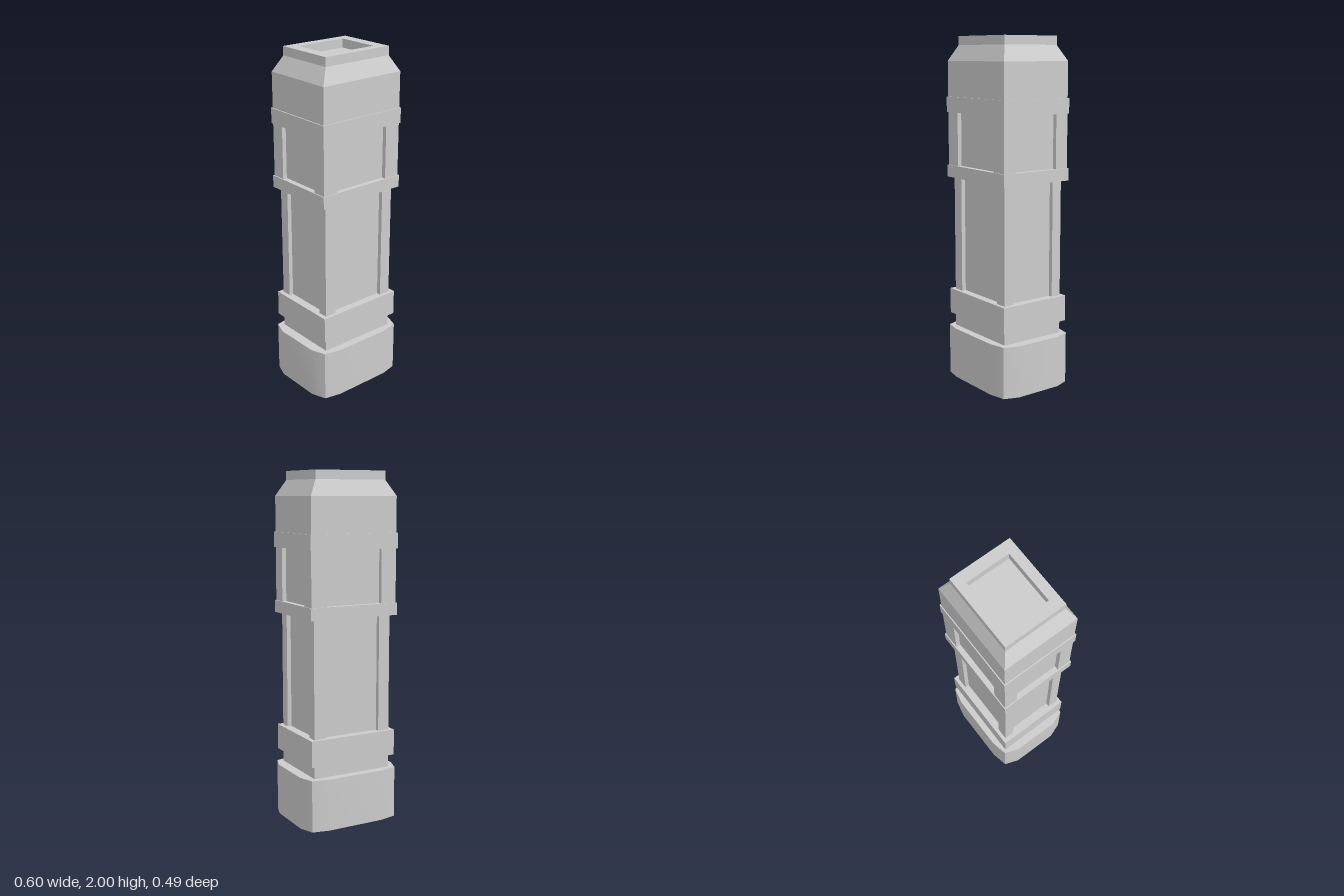
import * as THREE from 'three';
import { toCreasedNormals } from 'three/addons/utils/BufferGeometryUtils.js';

const material = new THREE.MeshStandardMaterial({ color: 0xcccccc });

export function createModel() {
  const model = new THREE.Group();

  const add = (name, geometry, parent = model) => {
    const mesh = new THREE.Mesh(geometry, material);
    mesh.name = name;
    parent.add(mesh);
    return mesh;
  };

  // Box given by half width, half depth and its bottom and top heights
  const slab = (name, hx, hz, y0, y1, parent) => {
    const mesh = add(name, new THREE.BoxGeometry(2 * hx, y1 - y0, 2 * hz), parent);
    mesh.position.y = (y0 + y1) / 2;
    return mesh;
  };

  // Four corner posts around a core that forms the recessed panels
  const panelled = (name, hx, hz, openX, openZ, y0, y1) => {
    const group = new THREE.Group();
    group.name = name;
    model.add(group);
    const depth = 0.025;
    slab('recessedPanels', hx - depth, hz - depth, y0, y1, group);
    for (const sx of [-1, 1]) {
      for (const sz of [-1, 1]) {
        const post = slab('cornerPost', (hx - openX) / 2, (hz - openZ) / 2, y0, y1, group);
        post.position.x = sx * (hx + openX) / 2;
        post.position.z = sz * (hz + openZ) / 2;
      }
    }
  };

  const extrudeUp = (shape, height) =>
    new THREE.ExtrudeGeometry(shape, { depth: height, bevelEnabled: false }).rotateX(-Math.PI / 2);

  // Plinth with softly bowed sides and sharp corners
  const quarter = [[0.302, 0.14], [0.271, 0.226], [0.172, 0.247]];
  const mirrored = quarter.map(([x, z]) => [-x, z]).reverse();
  const outline = [...quarter, ...mirrored];
  const points = [...outline, ...outline.map(([x, z]) => [-x, -z])]
    .map(([x, z]) => new THREE.Vector2(x, z));
  add('plinth', toCreasedNormals(extrudeUp(new THREE.Shape(points), 0.3), Math.PI / 6));

  // Neck, lower band and shaft
  slab('neck', 0.242, 0.2, 0.3, 0.375);
  slab('lowerBand', 0.268, 0.221, 0.375, 0.525);
  panelled('shaft', 0.242, 0.2, 0.173, 0.14, 0.525, 1.197);

  // Head with recessed windows between two trim rings
  slab('lowerRing', 0.275, 0.227, 1.197, 1.267);
  panelled('windows', 0.268, 0.221, 0.173, 0.14, 1.267, 1.573);
  slab('upperRing', 0.275, 0.227, 1.573, 1.66);
  slab('head', 0.268, 0.221, 1.66, 1.862);

  // Sloped shoulder: a box narrowed at its top
  const shoulder = slab('shoulder', 0.268, 0.221, 1.862, 1.95).geometry;
  const position = shoulder.attributes.position;
  for (let i = 0; i < position.count; i++) {
    if (position.getY(i) > 0) {
      position.setX(i, Math.sign(position.getX(i)) * 0.218);
      position.setZ(i, Math.sign(position.getZ(i)) * 0.179);
    }
  }
  shoulder.computeVertexNormals();

  // Open rim around the sunken top
  const rectangle = (Type, hx, hz) => new Type([
    new THREE.Vector2(-hx, -hz), new THREE.Vector2(hx, -hz),
    new THREE.Vector2(hx, hz), new THREE.Vector2(-hx, hz),
  ]);
  const rim = rectangle(THREE.Shape, 0.219, 0.18);
  rim.holes.push(rectangle(THREE.Path, 0.154, 0.126));
  add('topRim', extrudeUp(rim, 0.05)).position.y = 1.95;

  return model;
}
